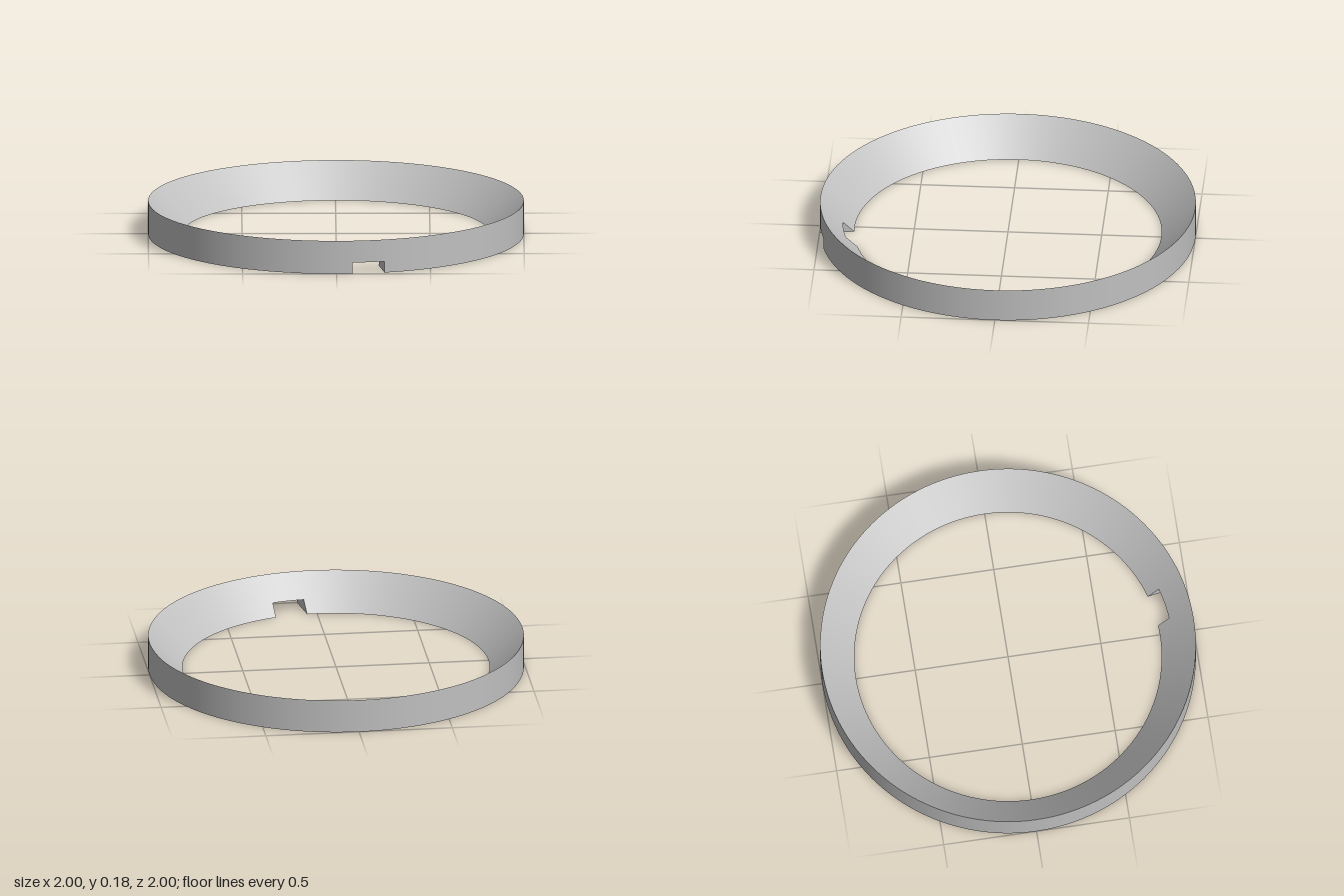
import * as THREE from 'three';

const SLOT_ANGLE = THREE.MathUtils.degToRad(9.82); // slot direction, from +z towards +x
const SLOT_HALF = 0.0863;                          // half the slot's width
const R_OUT = 1, R_IN = 0.818, HEIGHT = 0.18, SLOT_H = 0.061;
const R_SLOT = R_IN + (R_OUT - R_IN) * SLOT_H / HEIGHT; // cone radius at the slot's roof

// Angle of the straight slot wall at radius r, on side -1 or +1
const wallAngle = (r, side) => SLOT_ANGLE + side * Math.asin(SLOT_HALF / r);
const point = (r, y, a) => [r * Math.sin(a), y, r * Math.cos(a)];

function geometryFrom(position, normal, index) {
  const g = new THREE.BufferGeometry();
  g.setAttribute('position', new THREE.Float32BufferAttribute(position, 3));
  if (normal) g.setAttribute('normal', new THREE.Float32BufferAttribute(normal, 3));
  g.setIndex(index);
  if (!normal) g.computeVertexNormals();
  return g;
}

// Sweep a closed [radius, y] profile around y; each profile edge keeps its own normals
function sweep(profile, startAt, endAt, segments) {
  const position = [], normal = [], index = [];
  profile.forEach((p, k) => {
    const q = profile[(k + 1) % profile.length];
    const dr = q[0] - p[0], dy = q[1] - p[1], len = Math.hypot(dr, dy);
    const base = position.length / 3;
    for (let i = 0; i <= segments; i++) {
      for (const [r, y] of [p, q]) {
        const a = THREE.MathUtils.lerp(startAt(r), endAt(r), i / segments);
        position.push(...point(r, y, a));
        normal.push(...point(dy / len, -dr / len, a));
      }
      if (i < segments) {
        const n = base + i * 2;
        index.push(n, n + 2, n + 3, n, n + 3, n + 1);
      }
    }
  });
  return geometryFrom(position, normal, index);
}

// Flat side wall of the slot
function slotWall(side) {
  const corners = [[R_OUT, 0], [R_OUT, SLOT_H], [R_SLOT, SLOT_H], [R_IN, 0]];
  const position = corners.flatMap(([r, y]) => point(r, y, wallAngle(r, side)));
  return geometryFrom(position, null, side > 0 ? [0, 1, 2, 0, 2, 3] : [0, 2, 1, 0, 3, 2]);
}

export function createModel() {
  const group = new THREE.Group();
  group.name = 'notchedRing';
  const grey = new THREE.MeshStandardMaterial({ color: 0xc0c0c0 });
  grey.name = 'grey';
  const add = (name, geometry) => {
    const mesh = new THREE.Mesh(geometry, grey);
    mesh.name = name;
    group.add(mesh);
  };

  // Wedge-section ring, running all the way round from one slot wall to the other
  add('ringBody', sweep(
    [[R_OUT, 0], [R_OUT, HEIGHT], [R_SLOT, SLOT_H], [R_IN, 0]],
    r => wallAngle(r, 1), r => wallAngle(r, -1) + Math.PI * 2, 140));

  // Part of the ring above the slot
  add('slotBridge', sweep(
    [[R_OUT, SLOT_H], [R_OUT, HEIGHT], [R_SLOT, SLOT_H]],
    r => wallAngle(r, -1), r => wallAngle(r, 1), 6));

  add('slotWallLeft', slotWall(1));
  add('slotWallRight', slotWall(-1));
  return group;
}
